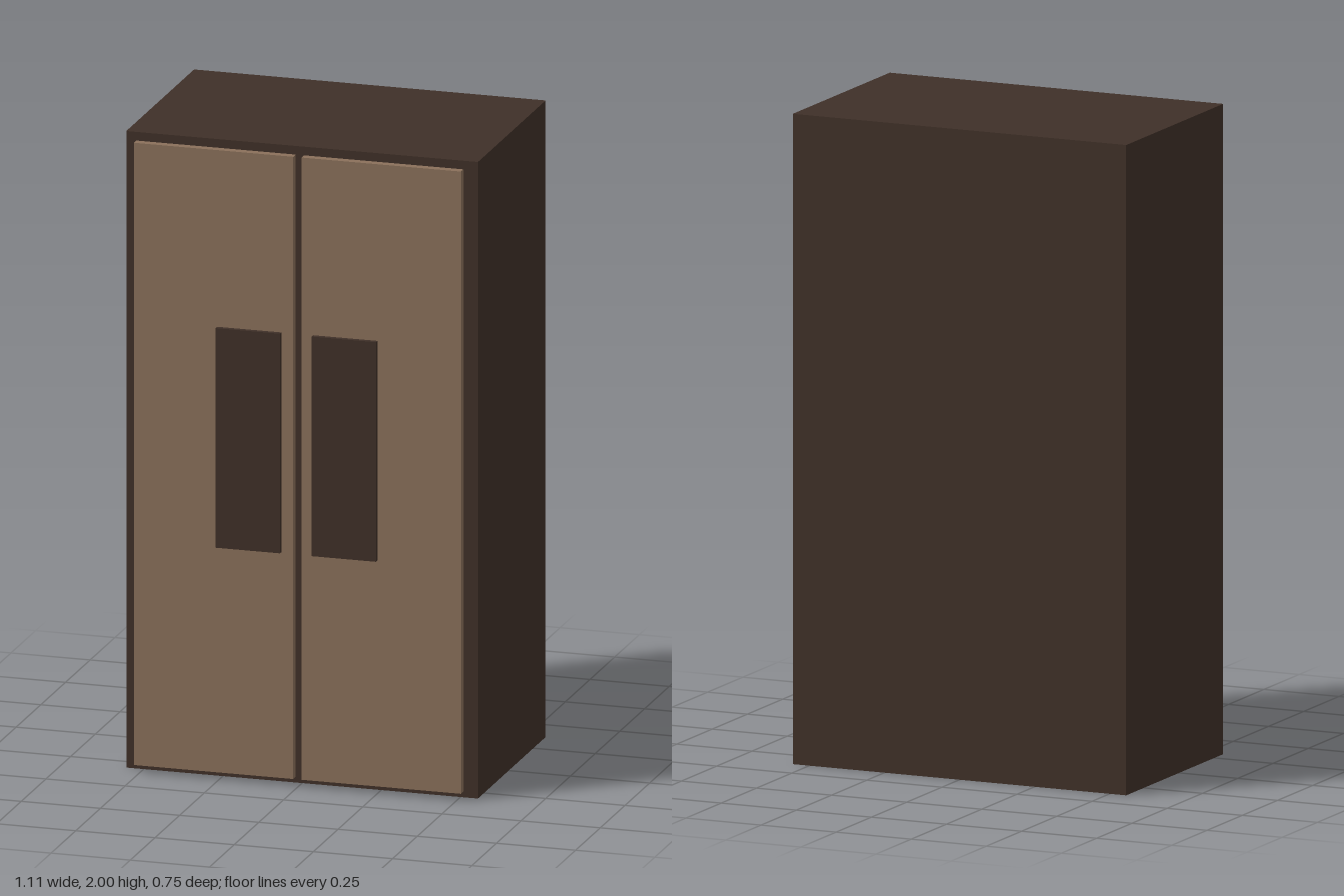
import * as THREE from 'three';

const dark = new THREE.MeshStandardMaterial({ color: 0x3f3028 });
const light = new THREE.MeshStandardMaterial({ color: 0x8a705a });

// Box given by its lower and upper corners
function box(name, material, [x0, y0, z0], [x1, y1, z1]) {
  const mesh = new THREE.Mesh(new THREE.BoxGeometry(x1 - x0, y1 - y0, z1 - z0), material);
  mesh.position.set((x0 + x1) / 2, (y0 + y1) / 2, (z0 + z1) / 2);
  mesh.name = name;
  return mesh;
}

export function createModel() {
  const cabinet = new THREE.Group();
  cabinet.name = 'cabinet';

  // Solid carcass
  cabinet.add(box('body', dark, [-0.555, 0, -0.375], [0.555, 2, 0.312]));

  // Pair of doors standing just off the front, each with a flat handle plate
  for (const [side, s] of [['left', 1], ['right', -1]]) {
    const door = box(side + 'Door', light, [0.013, 0.025, 0.335], [0.516, 1.98, 0.36]);
    const handle = box(side + 'HandlePlate', dark, [0.05, 0.735, 0.36], [0.253, 1.425, 0.375]);
    for (const part of [door, handle]) {
      part.position.x *= s;
      cabinet.add(part);
    }
  }
  return cabinet;
}
